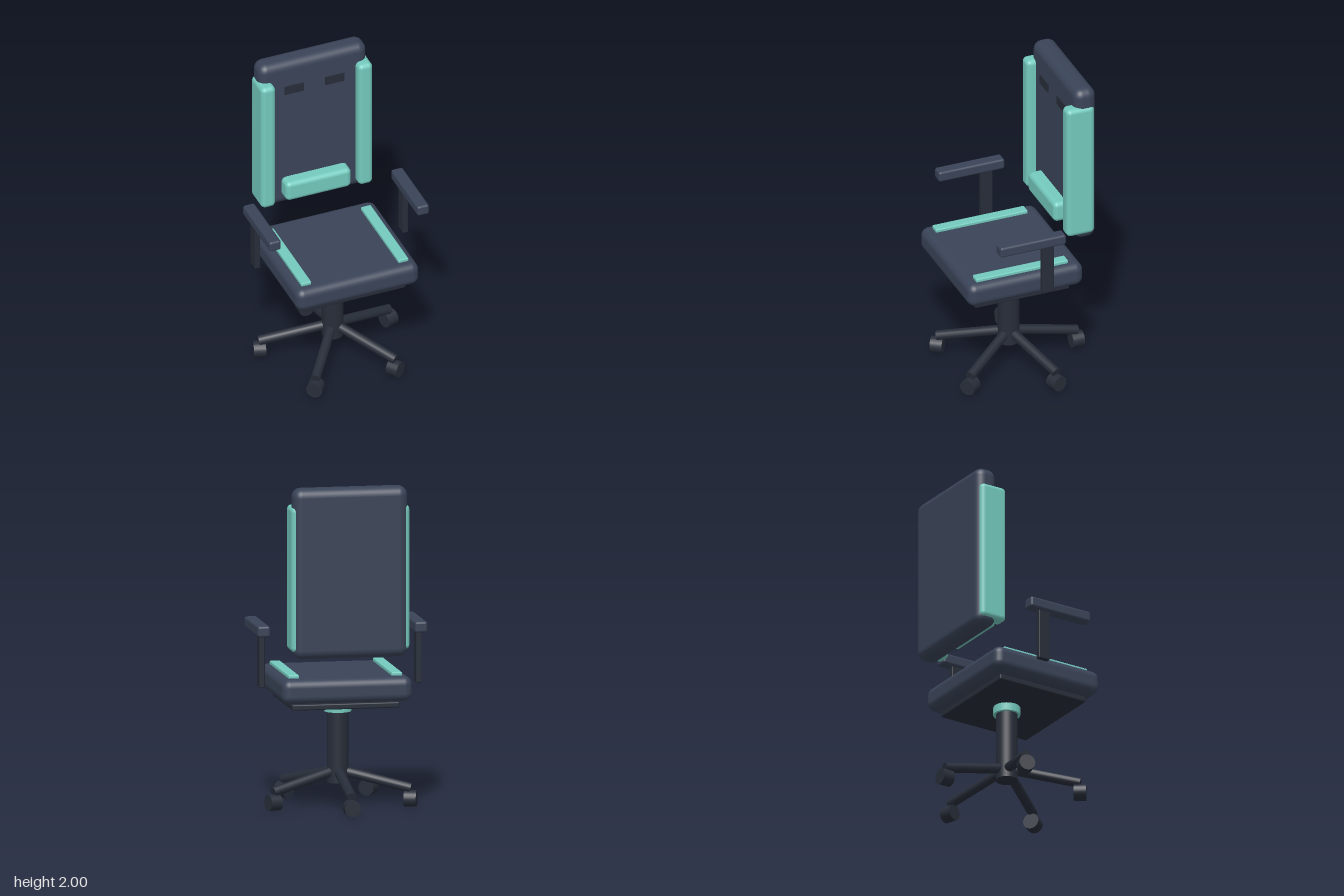
import * as THREE from 'three';
import { RoundedBoxGeometry } from 'three/addons/geometries/RoundedBoxGeometry.js';

export function createModel() {
  const chair = new THREE.Group();
  chair.name = 'officeChair';

  const cushion = new THREE.MeshStandardMaterial({ color: 0x3a4458 });
  const frame = new THREE.MeshStandardMaterial({ color: 0x272d39 });
  const accent = new THREE.MeshStandardMaterial({ color: 0x74cabe });

  const add = (name, geometry, material, parent = chair) => {
    const mesh = new THREE.Mesh(geometry, material);
    mesh.name = name;
    parent.add(mesh);
    return mesh;
  };

  // Box given by its [min, max] extents; a radius rounds its edges
  const block = (name, [x0, x1], [y0, y1], [z0, z1], material, radius = 0) => {
    const size = [x1 - x0, y1 - y0, z1 - z0];
    const geometry = radius
      ? new RoundedBoxGeometry(...size, 4, radius)
      : new THREE.BoxGeometry(...size);
    const mesh = add(name, geometry, material);
    mesh.position.set((x0 + x1) / 2, (y0 + y1) / 2, (z0 + z1) / 2);
    return mesh;
  };

  // The same block on both sides; extents are for the +x side
  const pair = (name, [x0, x1], ys, zs, material, radius) => {
    block(name + 'Left', [x0, x1], ys, zs, material, radius);
    block(name + 'Right', [-x1, -x0], ys, zs, material, radius);
  };

  // Seat
  block('seat', [-0.4, 0.4], [0.67, 0.82], [-0.3, 0.45], cushion, 0.05);
  block('seatPlate', [-0.33, 0.33], [0.625, 0.66], [-0.23, 0.385], frame, 0.008);
  pair('seatStripe', [0.284, 0.35], [0.8, 0.84], [-0.215, 0.385], accent, 0.008);

  // Backrest
  block('backrest', [-0.352, 0.352], [0.96, 2], [-0.404, -0.262], cushion, 0.055);
  pair('backBolster', [0.27, 0.364], [1, 1.888], [-0.386, -0.204], accent, 0.03);
  block('lumbarPad', [-0.213, 0.213], [1.03, 1.163], [-0.29, -0.18], accent, 0.03);
  pair('backSlot', [0.07, 0.195], [1.776, 1.833], [-0.285, -0.254], frame);

  // Armrests
  pair('armPost', [0.465, 0.5], [0.745, 1.08], [-0.06, 0.016], frame, 0.006);
  pair('armPad', [0.445, 0.522], [1.062, 1.13], [-0.132, 0.298], cushion, 0.015);

  // Column and five-legged base share one axis
  const base = new THREE.Group();
  base.name = 'base';
  base.position.z = 0.03;
  chair.add(base);

  add('column', new THREE.CylinderGeometry(0.066, 0.066, 0.49, 32), frame, base).position.y = 0.387;
  add('columnCollar', new THREE.CylinderGeometry(0.082, 0.082, 0.052, 32), accent, base).position.y = 0.602;

  const legStart = new THREE.Vector3(0, 0.22, 0);
  const legEnd = new THREE.Vector3(0, 0.114, -0.445);
  const along = legEnd.clone().sub(legStart);
  const legGeometry = new THREE.CylinderGeometry(0.03, 0.03, along.length(), 16);
  const casterGeometry = new THREE.CylinderGeometry(0.05, 0.05, 0.075, 20).rotateX(Math.PI / 2);

  for (let i = 0; i < 5; i++) {
    const spoke = new THREE.Group();
    spoke.name = 'spoke' + (i + 1);
    spoke.rotation.y = (i * Math.PI * 2) / 5;
    base.add(spoke);

    const leg = add('leg', legGeometry, frame, spoke);
    leg.position.lerpVectors(legStart, legEnd, 0.5);
    leg.quaternion.setFromUnitVectors(new THREE.Vector3(0, 1, 0), along.clone().normalize());

    add('caster', casterGeometry, frame, spoke).position.set(0, 0.05, -0.4425);
  }

  return chair;
}
